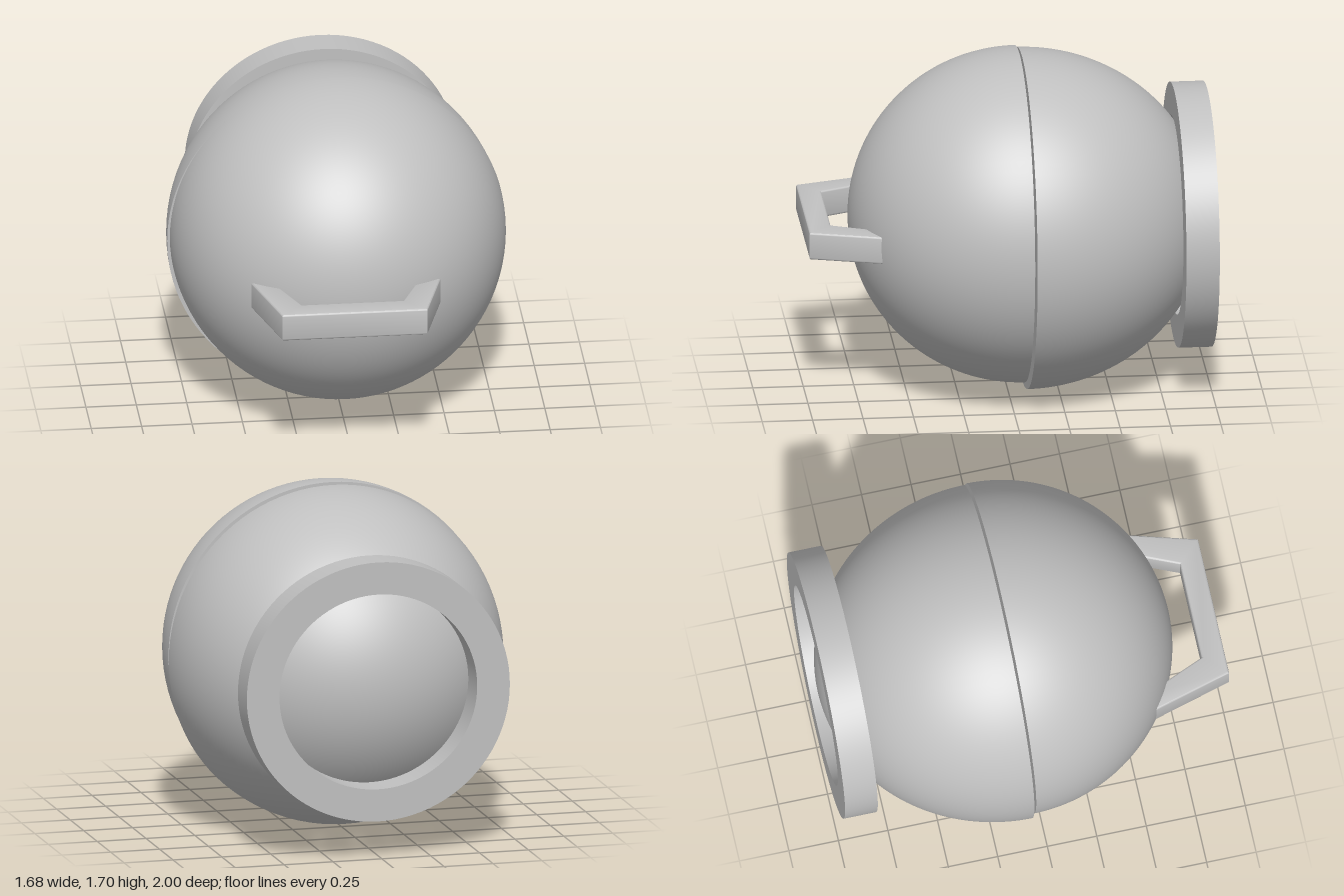
import * as THREE from 'three';
import { toCreasedNormals } from 'three/addons/utils/BufferGeometryUtils.js';

export function createModel() {
  const model = new THREE.Group();
  const grey = new THREE.MeshStandardMaterial({ color: 0xc0c0c0 });
  grey.name = 'plain grey';

  const add = (name, geometry, parent = model) => {
    const mesh = new THREE.Mesh(geometry, grey);
    mesh.name = name;
    parent.add(mesh);
    return mesh;
  };

  // Half of the round body: a dome along z (dir = 1 front, -1 back) with a flat cap
  function halfBody(name, x, y, z, rx, ry, depth, dir) {
    const half = new THREE.Group();
    half.name = name;
    const dome = new THREE.SphereGeometry(1, 96, 40, 0, Math.PI * 2, 0, Math.PI / 2);
    dome.rotateX(dir * Math.PI / 2).scale(rx, ry, depth);
    add(name + 'Dome', dome, half);
    const cap = new THREE.CircleGeometry(1, 96);
    if (dir > 0) cap.rotateY(Math.PI);
    cap.scale(rx, ry, 1);
    add(name + 'Cap', cap, half);
    half.position.set(x, y, z);
    model.add(half);
  }
  halfBody('frontHalf', 0.005, 0.873, -0.072, 0.831, 0.833, 0.85, 1);
  halfBody('backHalf', 0, 0.848, -0.084, 0.838, 0.846, 0.912, -1);

  // Ring around the rear dome
  const ringProfile = [[0.5, 0], [0.665, 0], [0.665, 0.165], [0.5, 0.165], [0.5, 0]]
    .map(([r, h]) => new THREE.Vector2(r, h));
  const ring = toCreasedNormals(new THREE.LatheGeometry(ringProfile, 96), 0.6);
  ring.rotateX(Math.PI / 2).scale(1.012, 0.985, 1).translate(0.018, 0.847, -1);
  add('rearRing', ring);

  // Angular grab handle, drawn in plan and extruded upward
  const b = 0.01;
  const plan = new THREE.Shape([
    [-0.5, 0.58], [-0.38, 1], [0.34, 1], [0.46, 0.58],
    [0.36, 0.58], [0.23, 0.885], [-0.27, 0.885], [-0.4, 0.58],
  ].map(([x, z]) => new THREE.Vector2(x, z)));
  const handle = new THREE.ExtrudeGeometry(plan, {
    depth: 0.14 - 2 * b, bevelEnabled: true, bevelSize: b, bevelOffset: -b, bevelThickness: b, bevelSegments: 3,
  });
  handle.rotateX(Math.PI / 2).translate(0, 0.925 - b, 0);
  add('frontHandle', toCreasedNormals(handle, 0.6));

  return model;
}
